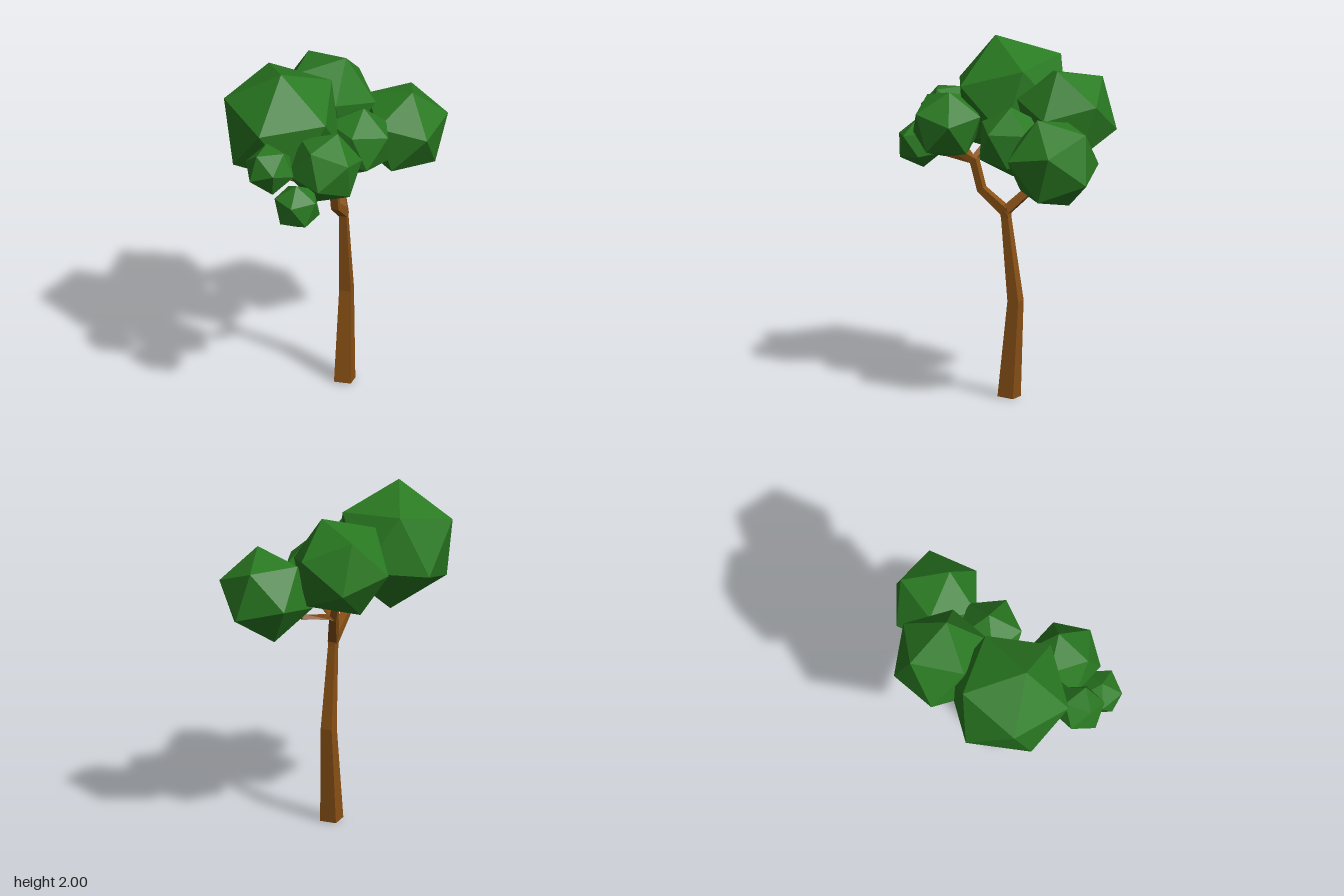
import * as THREE from 'three';

const bark = new THREE.MeshStandardMaterial({ color: 0x8a5216, flatShading: true });
const leaf = new THREE.MeshStandardMaterial({ color: 0x2a7a22, flatShading: true });
const V = (a) => new THREE.Vector3(...a);

// Square-section limb swept through points [x, y, z, halfWidth]
function limb(name, points) {
  const pos = [], index = [];
  const centres = points.map((p) => V(p.slice(0, 3)));
  points.forEach((p, i) => {
    const t = centres[Math.min(i + 1, points.length - 1)].clone()
      .sub(centres[Math.max(i - 1, 0)]).normalize();
    const ref = Math.abs(t.x) > 0.85 ? new THREE.Vector3(0, 0, 1) : new THREE.Vector3(1, 0, 0);
    const u = ref.addScaledVector(t, -ref.dot(t)).normalize();
    const w = t.clone().cross(u);
    for (const [a, b] of [[1, 1], [-1, 1], [-1, -1], [1, -1]]) {
      pos.push(...centres[i].clone().addScaledVector(u, a * p[3]).addScaledVector(w, b * p[3]).toArray());
    }
    if (i === 0) return;
    for (let k = 0; k < 4; k++) {
      const a = (i - 1) * 4 + k, b = (i - 1) * 4 + (k + 1) % 4;
      index.push(a, b, b + 4, a, b + 4, a + 4);
    }
  });
  const e = (points.length - 1) * 4;
  index.push(0, 2, 1, 0, 3, 2, e, e + 1, e + 2, e, e + 2, e + 3);
  const g = new THREE.BufferGeometry();
  g.setAttribute('position', new THREE.Float32BufferAttribute(pos, 3));
  g.setIndex(index);
  g.computeVertexNormals();
  const mesh = new THREE.Mesh(g, bark);
  mesh.name = name;
  return mesh;
}

// Orthonormal frame from a main direction and a second direction
function frame(main, second) {
  const a = main.clone().normalize();
  const b = second.clone().addScaledVector(a, -second.dot(a)).normalize();
  return new THREE.Matrix4().makeBasis(a, b, a.clone().cross(b));
}

// Icosahedron turned so one corner points along top and an adjacent one along side
function foliage(name, centre, radius, top, side) {
  const phi = (1 + Math.sqrt(5)) / 2;
  const base = frame(V([0, 1, phi]), V([0, -1, phi]));
  const turn = frame(V(top), V(side)).multiply(base.transpose());
  const mesh = new THREE.Mesh(new THREE.IcosahedronGeometry(radius, 0), leaf);
  mesh.quaternion.setFromRotationMatrix(turn);
  mesh.position.set(...centre);
  mesh.name = name;
  return mesh;
}

export function createModel() {
  const tree = new THREE.Group();
  tree.name = 'tree';

  // Bent trunk and the two forks
  const fork = [0.075, 1.07, -0.037];
  tree.add(
    limb('trunk', [[0.075, 0.005, -0.06, 0.049], [0.075, 0.56, -0.1, 0.034],
      [0.075, 1.03, -0.042, 0.022], [0.075, 1.09, -0.035, 0.024]]),
    limb('frontBranch', [[...fork, 0.026], [0.07, 1.18, 0.115, 0.022],
      [0.07, 1.34, 0.16, 0.022], [0.07, 1.38, 0.25, 0.018], [0.07, 1.5, 0.33, 0.012]]),
    limb('backBranch', [[...fork, 0.026], [-0.02, 1.27, -0.235, 0.021], [-0.09, 1.5, -0.31, 0.014]]),
  );

  // Twigs reaching into the leaf clusters
  const frontNode = [0.07, 1.34, 0.17, 0.016], backNode = [-0.02, 1.28, -0.24, 0.016];
  const twigs = [
    [frontNode, [-0.15, 1.52, 0.1, 0.01]],
    [frontNode, [0.02, 1.35, 0.38, 0.011], [-0.035, 1.38, 0.52, 0.008]],
    [frontNode, [-0.08, 1.44, 0.36, 0.011], [-0.2, 1.53, 0.46, 0.008]],
    [backNode, [0.12, 1.29, -0.34, 0.014], [0.28, 1.42, -0.44, 0.01]],
    [backNode, [0.08, 1.32, -0.18, 0.014], [0.14, 1.46, -0.12, 0.01]],
  ];
  twigs.forEach((p, i) => tree.add(limb(`twig${i + 1}`, p)));

  // Leaf clusters: centre, radius, corner direction, adjacent corner direction
  tree.add(
    foliage('crownLeaves', [-0.25, 1.65, 0.08], 0.365, [0.02, 0.35, 0.1], [0.3, 0.1, 0.18]),
    foliage('backLeftLeaves', [0.3, 1.435, -0.45], 0.274, [0.08, 0.255, 0.06], [0, 0.175, -0.21]),
    foliage('backLeaves', [-0.11, 1.62, -0.33], 0.294, [0.12, 0.268, 0], [0.29, 0.01, 0]),
    foliage('leftLeaves', [0.14, 1.49, -0.11], 0.208, [0.03, 0.2, -0.01], [0.18, 0.09, 0.05]),
    foliage('frontLeaves', [0.07, 1.53, 0.335], 0.214, [0.06, 0.2, -0.045], [0.165, 0.075, 0.115]),
    foliage('smallRightLeaves', [-0.215, 1.555, 0.48], 0.146, [0.085, 0.115, 0.02], [0.055, 0.017, 0.135]),
    foliage('smallFrontLeaves', [-0.035, 1.38, 0.555], 0.14, [0, 0.138, 0.02], [0, 0.05, 0.135]),
  );
  return tree;
}
